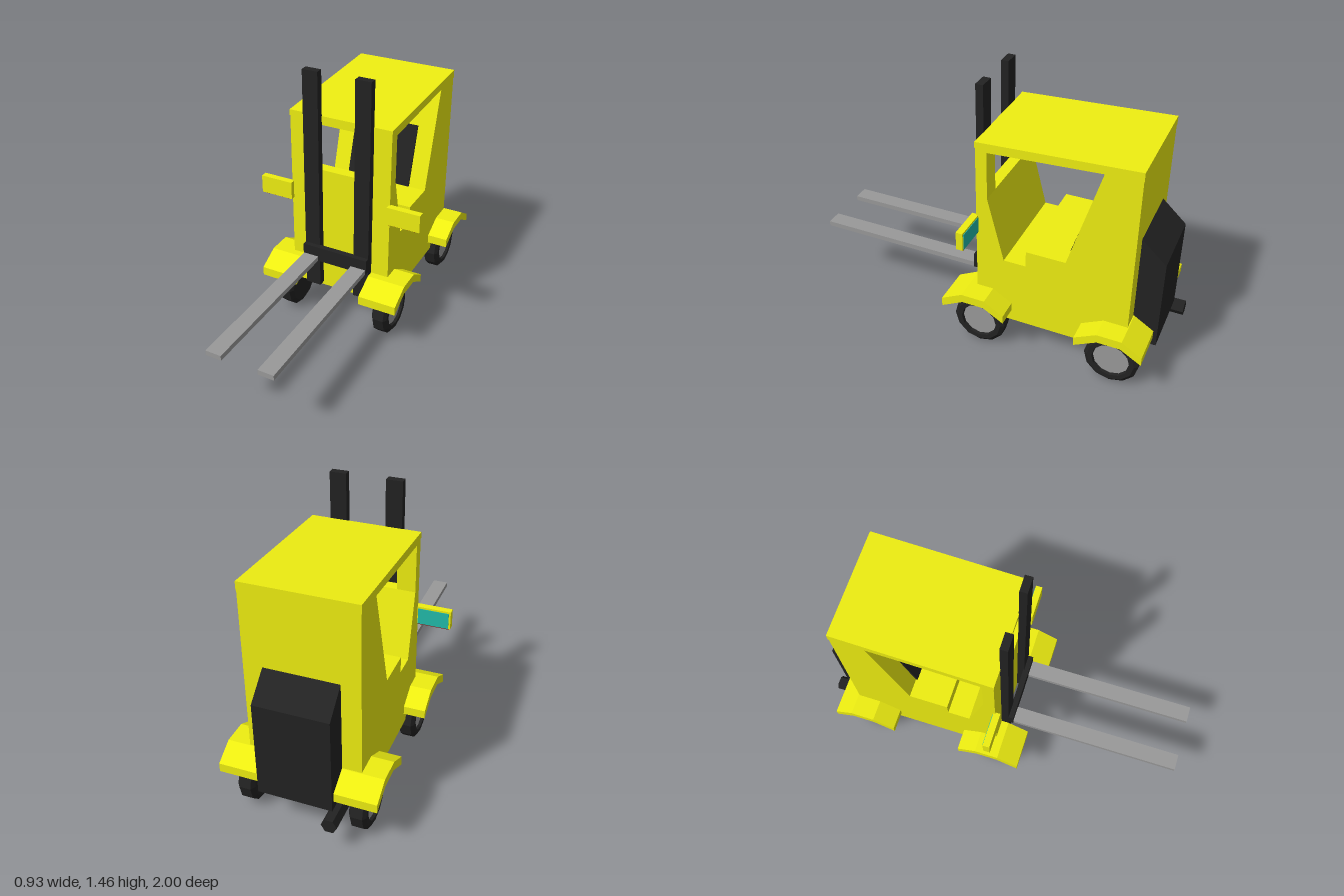
import * as THREE from 'three';

const material = (color) => new THREE.MeshStandardMaterial({ color, flatShading: true });

export function createModel() {
  const model = new THREE.Group();
  model.name = 'forklift';
  const yellow = material(0xeeee11), black = material(0x222222), grey = material(0x999999);
  const teal = material(0x22bbaa), red = material(0x881111);

  const add = (name, geometry, mat, parent = model) => {
    const mesh = new THREE.Mesh(geometry, mat);
    mesh.name = name;
    parent.add(mesh);
    return mesh;
  };
  const points = (list) => list.map(([z, y]) => new THREE.Vector2(z, y));

  // Side profile of [z, y] points, extruded from x0 to x1
  const slab = (name, profile, x0, x1, mat, hole) => {
    const shape = new THREE.Shape(points(profile));
    if (hole) shape.holes.push(new THREE.Path(points(hole)));
    const geometry = new THREE.ExtrudeGeometry(shape, { depth: x1 - x0, bevelEnabled: false });
    geometry.rotateY(-Math.PI / 2).translate(x1, 0, 0);
    return add(name, geometry, mat);
  };
  // Box given by its limits on each axis
  const box = (name, [x0, x1], [y0, y1], [z0, z1], mat) => {
    const geometry = new THREE.BoxGeometry(x1 - x0, y1 - y0, z1 - z0);
    geometry.translate((x0 + x1) / 2, (y0 + y1) / 2, (z0 + z1) / 2);
    return add(name, geometry, mat);
  };
  // Limits mirrored to the given side
  const span = (side, a, b) => (side > 0 ? [a, b] : [-b, -a]);

  // Body: cab sides with a window, and a middle section open at the windscreen
  const cabin = [[-0.05, 0.91], [-0.14, 0.56], [-0.26, 0.56], [-0.26, 0.65], [-0.47, 0.65], [-0.63, 1.2], [-0.05, 1.17]];
  const outline = [[0.01, 0.18], [0.01, 1.19], [-0.81, 1.22], [-0.81, 0.18]];
  for (const side of [1, -1]) {
    slab(side > 0 ? 'leftCabSide' : 'rightCabSide', outline, ...span(side, 0.19, 0.288), yellow, cabin);
  }
  slab('cabMiddle', [[0.01, 0.18], [0.01, 0.91], ...cabin, [0.01, 1.167], ...outline.slice(1)], -0.19, 0.19, yellow);
  slab('roof', [[0.012, 1.185], [0.012, 1.217], [-0.812, 1.253], [-0.812, 1.208]], -0.29, 0.29, yellow);

  // Seat back lying on the sloped rear of the cab
  slab('seatBack', [[-0.46, 0.655], [-0.563, 0.99], [-0.58, 0.99], [-0.48, 0.655]], -0.19, 0.19, black);

  // Counterweight and exhaust
  slab('counterweight', [[-0.8, 0.2], [-0.8, 0.84], [-0.81, 0.83], [-0.94, 0.71], [-0.94, 0.2]], -0.19, 0.19, black);
  const pipe = new THREE.CylinderGeometry(0.04, 0.04, 0.4, 6);
  pipe.rotateY(Math.PI / 2).rotateX(Math.PI / 2).rotateZ(Math.PI / 6);
  // Turn the hexagon so that a flat side faces up
  const pos = pipe.attributes.position;
  let top = 0;
  for (let i = 0; i < pos.count; i++) top = Math.max(top, pos.getY(i));
  if (top > 0.039) pipe.rotateZ(Math.PI / 6);
  add('exhaust', pipe, black).position.set(-0.197, 0.163, -0.8);

  // Lift mast, fork and mirror on each side
  for (const side of [1, -1]) {
    const label = side > 0 ? 'left' : 'right';
    box(label + 'Mast', span(side, 0.103, 0.19), [0.2, 1.465], [0.01, 0.05], black);
    box(label + 'Fork', span(side, 0.1, 0.186), [0.38, 0.408], [0.07, 1], grey);
    box(label + 'Mirror', span(side, 0.28, 0.465), [0.7, 0.8], [0, 0.036], yellow);
    box(label + 'MirrorGlass', span(side, 0.292, 0.455), [0.702, 0.79], [-0.003, 0.002], teal);
    box(label + 'MirrorBase', span(side, 0.292, 0.46), [0.697, 0.702], [0, 0.032], red);
  }
  box('forkCarriage', [-0.19, 0.19], [0.38, 0.465], [0.045, 0.077], black);

  // Wheels with recessed hubs, and angular fenders
  const fender = [[0.165, 0.245], [0.165, 0.295], [0.05, 0.355], [-0.08, 0.355], [-0.185, 0.29],
    [-0.185, 0.243], [-0.075, 0.308], [0.045, 0.308]];
  const tyre = [[0, -0.045], [0.12, -0.045], [0.145, -0.03], [0.145, 0.03], [0.125, 0.045], [0.1, 0.045], [0.095, 0.025]];
  for (const [end, z] of [['front', 0], ['rear', -0.735]]) {
    for (const side of [1, -1]) {
      const label = end + (side > 0 ? 'Left' : 'Right');
      slab(label + 'Fender', fender.map(([a, y]) => [a + z, y]), ...span(side, 0.19, 0.403), yellow);
      const wheel = new THREE.Group();
      wheel.name = label + 'Wheel';
      wheel.position.set(side * 0.29, 0.147, z - 0.015);
      wheel.rotation.z = -side * Math.PI / 2;
      model.add(wheel);
      add('tyre', new THREE.LatheGeometry(points(tyre), 12), black, wheel);
      add('hub', new THREE.CylinderGeometry(0.098, 0.098, 0.03, 12), grey, wheel).position.y = 0.015;
    }
  }
  return model;
}
